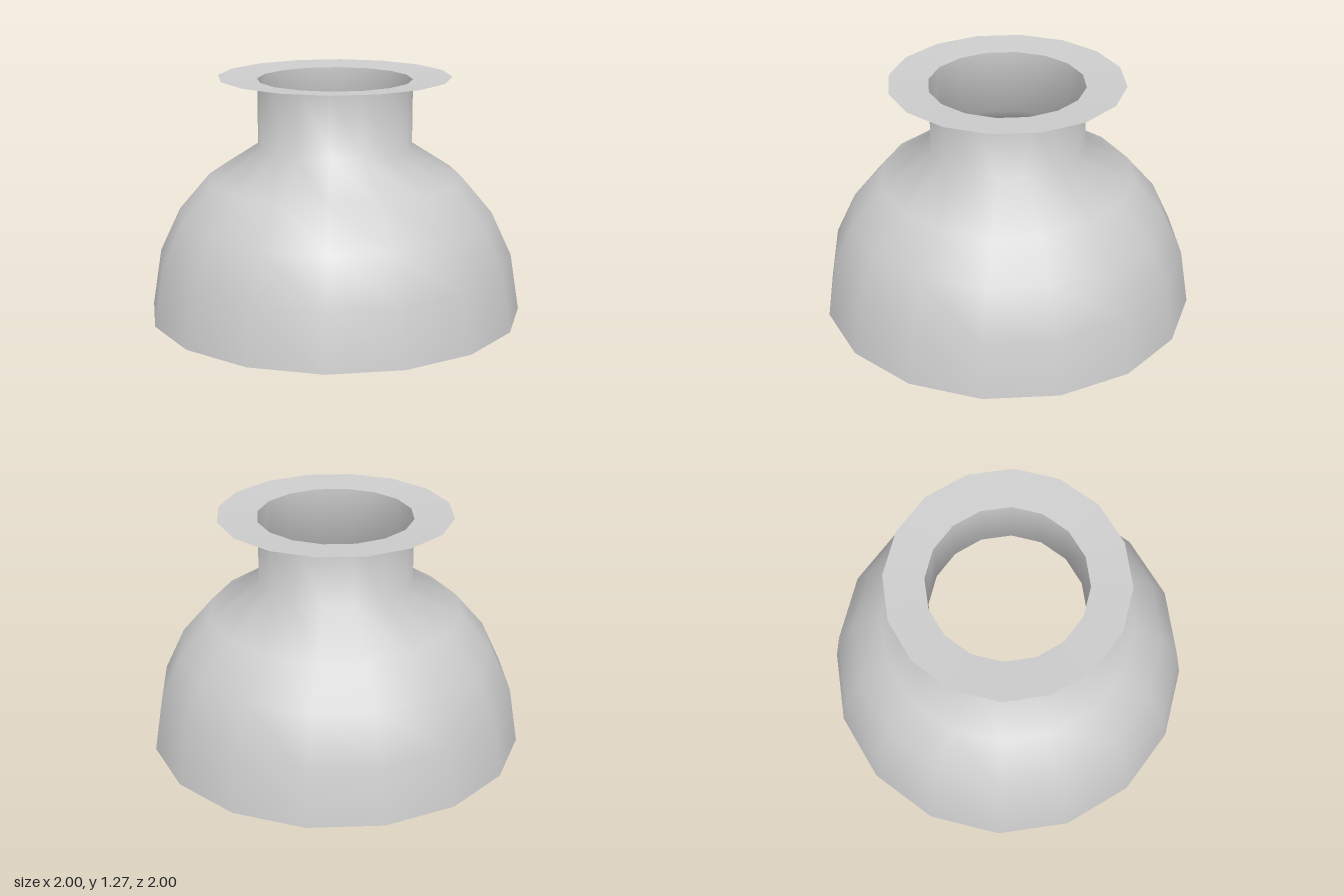
import * as THREE from 'three';

const SIDES = 16;

export function createModel() {
  const group = new THREE.Group();
  const material = new THREE.MeshStandardMaterial({ color: 0xcccccc, side: THREE.DoubleSide });

  // Revolve a [radius, height] profile, bottom to top, into a thin open shell
  const addShell = (name, profile) => {
    const points = profile.map(([r, y]) => new THREE.Vector2(r, y));
    const mesh = new THREE.Mesh(new THREE.LatheGeometry(points, SIDES), material);
    mesh.name = name;
    group.add(mesh);
  };

  // Domed body running smoothly into the straight neck
  addShell('domeAndNeck', [
    [1, 0], [0.95, 0.305], [0.84, 0.54], [0.675, 0.735], [0.41, 0.905], [0.41, 1.255],
  ]);

  // Nearly flat rim with a sharp edge at the neck
  addShell('rimFlange', [[0.41, 1.255], [0.617, 1.27]]);

  return group;
}
